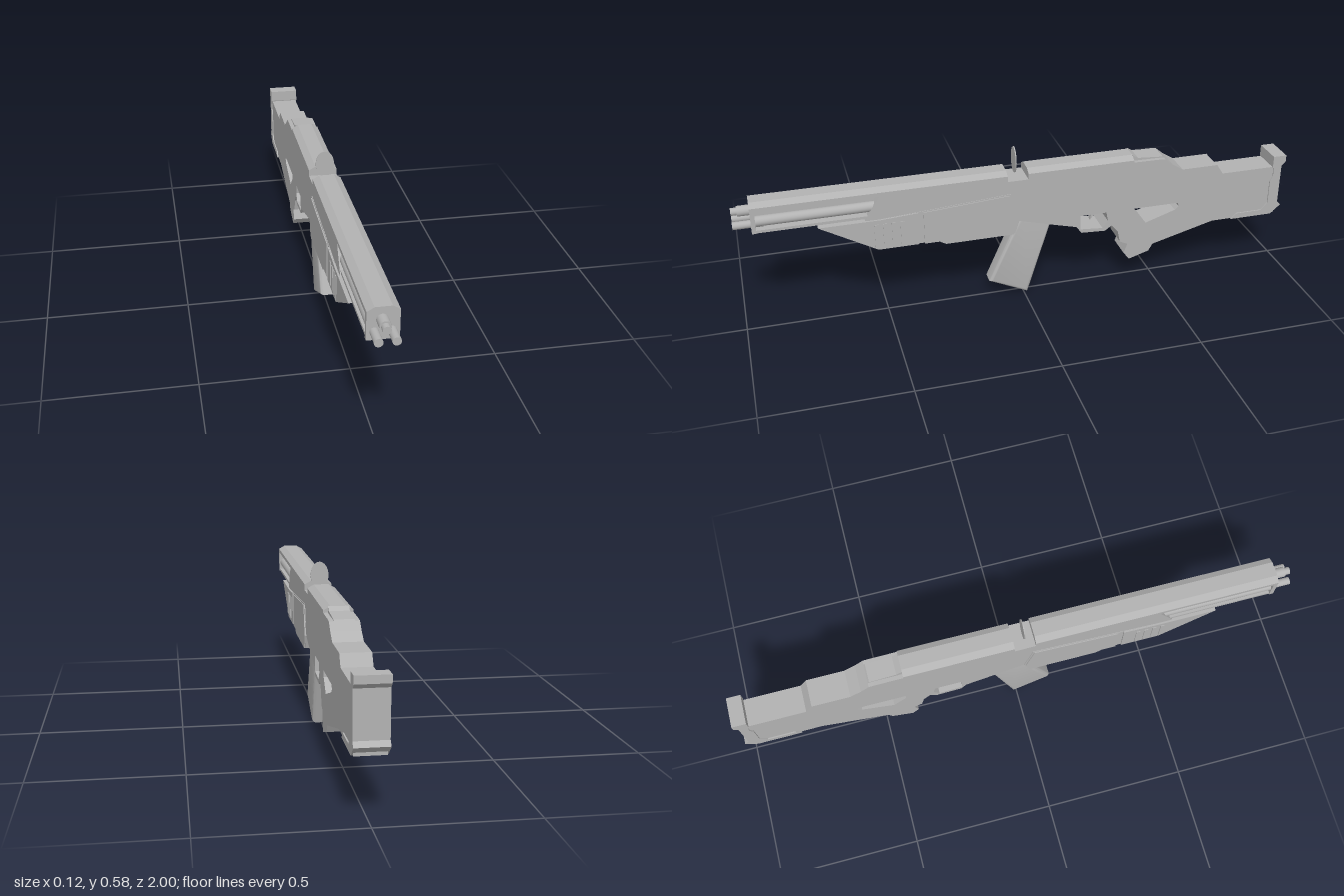
import * as THREE from 'three';
import { toCreasedNormals } from 'three/addons/utils/BufferGeometryUtils.js';

const metal = new THREE.MeshStandardMaterial({ color: 0xb2b2b2 });
metal.name = 'grey metal';

export function createModel() {
  const model = new THREE.Group();
  model.name = 'rifle';

  const add = (name, geometry, x = 0, y = 0, z = 0) => {
    const mesh = new THREE.Mesh(geometry, metal);
    mesh.name = name;
    mesh.position.set(x, y, z);
    model.add(mesh);
    return mesh;
  };
  const outline = pts => new THREE.Shape(pts.map(([a, b]) => new THREE.Vector2(a, b)));

  // Side profile of [z, y] points, extruded across x
  const slab = (name, pts, half, holes = [], bevel = 0) => {
    const shape = outline(pts);
    shape.holes = holes.map(outline);
    let g = new THREE.ExtrudeGeometry(shape, {
      depth: 2 * (half - bevel), bevelEnabled: bevel > 0, bevelSize: bevel,
      bevelThickness: bevel, bevelOffset: -bevel, bevelSegments: 4,
    });
    g.translate(0, 0, -(half - bevel)).rotateY(-Math.PI / 2);
    if (bevel) g = toCreasedNormals(g, 0.7);
    return add(name, g);
  };
  // Cross-section of [x, y] points, extruded from z0 to z1
  const section = (name, pts, z0, z1) => add(name,
    new THREE.ExtrudeGeometry(outline(pts), { depth: z1 - z0, bevelEnabled: false }), 0, 0, z0);
  const box = (name, w, h, d, x, y, z) => add(name, new THREE.BoxGeometry(w, h, d), x, y, z);
  const rod = (name, r, z0, z1, x, y) => add(name,
    new THREE.CylinderGeometry(r, r, z1 - z0, 24).rotateX(Math.PI / 2), x, y, (z0 + z1) / 2);

  // Receiver, grip, trigger guard and stock in one piece
  slab('receiver', [
    [0.065, 0.475], [-0.01, 0.475], [-0.01, 0.492], [-0.5, 0.487], [-0.52, 0.485], [-0.55, 0.46],
    [-0.59, 0.435], [-0.725, 0.435], [-0.75, 0.397], [-0.975, 0.397], [-0.975, 0.203],
    [-0.725, 0.203], [-0.49, 0.14], [-0.475, 0.113], [-0.4, 0.09], [-0.377, 0.118],
    [-0.39, 0.155], [-0.36, 0.17], [-0.35, 0.215], [-0.325, 0.243], [-0.3, 0.225],
    [-0.21, 0.23], [-0.19, 0.257], [-0.11, 0.278], [0.024, 0.315], [0.065, 0.427],
  ], 0.049, [
    [[-0.205, 0.3], [-0.205, 0.245], [-0.29, 0.238], [-0.31, 0.265], [-0.303, 0.3]],
    [[-0.41, 0.3], [-0.41, 0.278], [-0.457, 0.235], [-0.57, 0.272], [-0.585, 0.285], [-0.58, 0.3]],
  ]);
  slab('trigger', [[-0.25, 0.305], [-0.275, 0.305], [-0.27, 0.275], [-0.255, 0.255], [-0.26, 0.28]], 0.008);

  // Chamfered top covers
  const cover = [[-0.049, 0.482], [0.049, 0.482], [0.049, 0.496], [0.026, 0.509], [-0.026, 0.509], [-0.049, 0.496]];
  section('rearTopCover', cover, -0.4, -0.01);
  section('frontTopCover', cover, 0.065, 0.935);
  slab('rearTopRamp', [[-0.4, 0.509], [-0.42, 0.497], [-0.515, 0.49], [-0.54, 0.465], [-0.4, 0.465]], 0.034);

  // Front housing with open sides for the tubes
  slab('barrelHousing', [[0.065, 0.485], [0.51, 0.485], [0.565, 0.397], [0.515, 0.385],
    [0.065, 0.41]], 0.049);
  box('barrelCore', 0.036, 0.085, 0.42, 0, 0.442, 0.72);
  box('barrelFloor', 0.092, 0.01, 0.43, 0, 0.407, 0.72);
  section('muzzlePlate', [[-0.049, 0.402], [0.049, 0.402], ...cover.slice(2)], 0.925, 0.94);

  // Three barrels and the side tubes
  rod('upperBarrel', 0.018, 0.9, 0.98, -0.003, 0.468);
  rod('upperBarrelTip', 0.013, 0.97, 1, -0.003, 0.468);
  for (const s of [-1, 1]) {
    rod('lowerBarrel', 0.0135, 0.9, 1, s * 0.026, 0.43);
    rod('sideTube', 0.018, 0.5, 0.93, s * 0.027, 0.438);
  }

  // Handguard: core, wedge nose and side panels
  slab('handguard', [[0.055, 0.427], [0.515, 0.395], [0.7, 0.395], [0.527, 0.285], [0.313, 0.28],
    [0.29, 0.267], [0.04, 0.267], [0.024, 0.315]], 0.051);
  slab('handguardNose', [[0.385, 0.403], [0.515, 0.395], [0.725, 0.395], [0.527, 0.281], [0.385, 0.281]], 0.0555);
  slab('handguardPanel', [[0.06, 0.422], [0.365, 0.401], [0.365, 0.279], [0.313, 0.279],
    [0.29, 0.266], [0.045, 0.266], [0.03, 0.315]], 0.0545);
  for (const s of [-1, 1]) {
    for (let i = 0; i < 4; i++) {
      box('handguardRib', 0.004, 0.085, 0.014, s * 0.0562, 0.337, 0.44 + i * 0.03);
    }
  }

  // Magazine, widening downward
  slab('magazine', [[0.01, 0.34], [-0.117, 0.34], [-0.013, 0.003], [0.13, 0.07]], 0.034, [], 0.014)
    .position.y = -0.003;

  // Butt pad: raised trim around the back and underside of the stock
  slab('buttPad', [[-0.95, 0.44], [-1, 0.44], [-1, 0.415], [-0.985, 0.4], [-0.985, 0.25],
    [-1, 0.235], [-0.96, 0.201], [-0.8, 0.201], [-0.82, 0.222], [-0.92, 0.222],
    [-0.945, 0.25], [-0.945, 0.34], [-0.955, 0.36], [-0.955, 0.385], [-0.95, 0.4]], 0.0535);

  // Oval sight plate standing in the top notch
  const sight = new THREE.CylinderGeometry(0.032, 0.032, 0.004, 32).rotateX(Math.PI / 2);
  add('sight', sight.scale(1, 1.5, 1), 0, 0.535, 0.03);

  return model;
}
